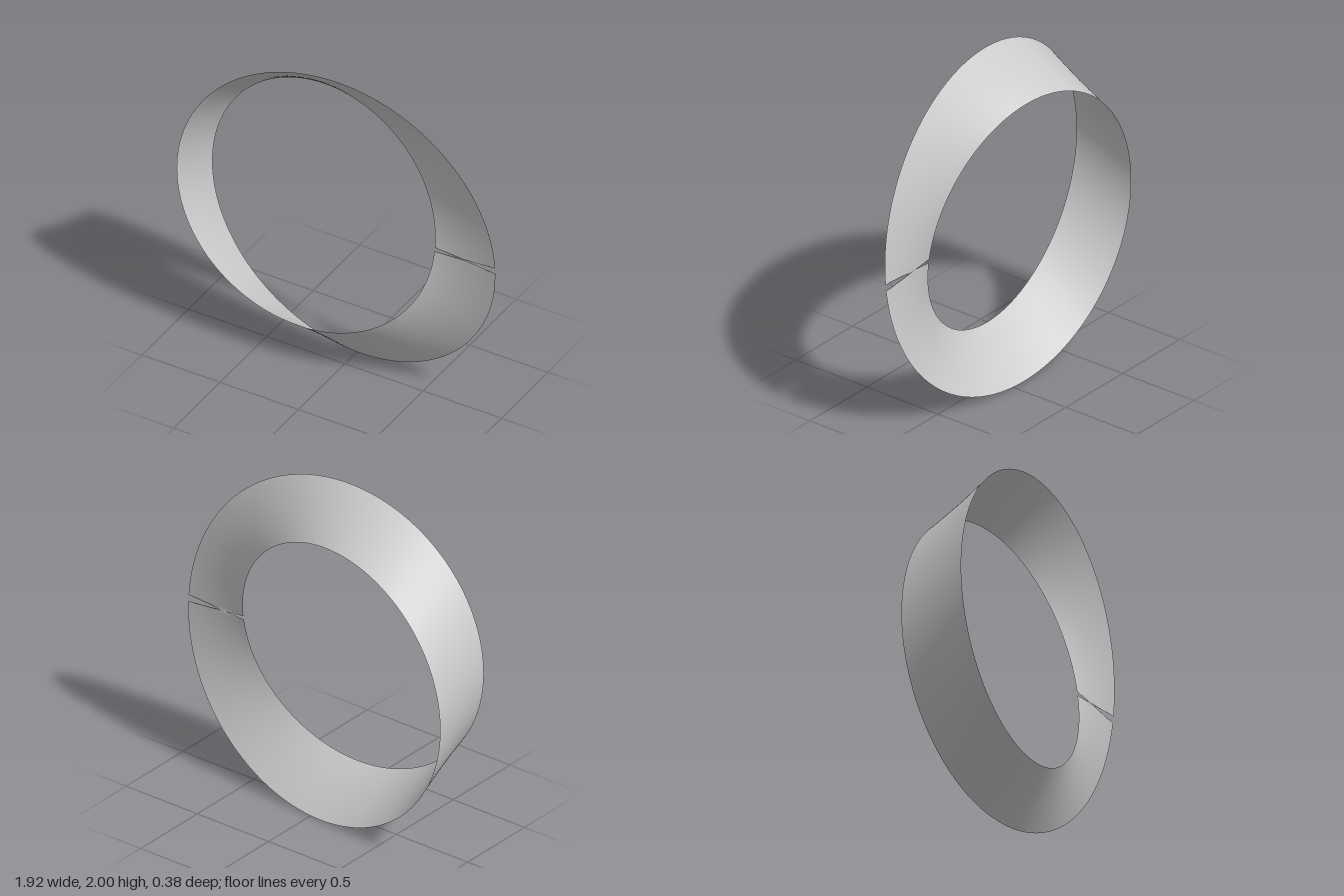
import * as THREE from 'three';

const R = 0.861;      // radius of the centre circle
const W = 0.1925;     // half width of the band
const STEPS = 180;    // divisions around the loop
const ACROSS = 16;    // divisions across the band
const SHIFT_X = -0.0936;

// Straight cross-section of the band at angle u, turning half as fast as u
function crossSection(u) {
  const row = [];
  for (let j = 0; j <= ACROSS; j++) {
    const v = W * (2 * j / ACROSS - 1);
    const r = R + v * Math.cos(u / 2);
    row.push(r * Math.cos(u) + SHIFT_X, 1 + r * Math.sin(u), v * Math.sin(u / 2));
  }
  return row;
}

// Smooth sheet lofted through equal-length cross-sections
function loft(rows) {
  const index = [];
  const n = ACROSS + 1;
  for (let i = 0; i < rows.length - 1; i++) {
    for (let j = 0; j < ACROSS; j++) {
      const a = i * n + j, b = a + n;
      index.push(a, b, a + 1, b, b + 1, a + 1);
    }
  }
  const geometry = new THREE.BufferGeometry();
  geometry.setAttribute('position', new THREE.Float32BufferAttribute(rows.flat(), 3));
  geometry.setIndex(index);
  geometry.computeVertexNormals();
  return geometry;
}

export function createModel() {
  const group = new THREE.Group();
  group.name = 'halfTwistLoop';
  const material = new THREE.MeshStandardMaterial({ color: 0xcccccc, side: THREE.DoubleSide });

  // Half-twisted band, one step short of a full turn
  const rows = [];
  for (let i = 0; i < STEPS; i++) rows.push(crossSection(i / STEPS * Math.PI * 2));
  const band = new THREE.Mesh(loft(rows), material);
  band.name = 'twistedBand';

  // Crossed seam: the ends meet reversed, leaving a notch at each edge
  const seam = new THREE.Mesh(loft([rows[STEPS - 1], rows[0]]), material);
  seam.name = 'crossedSeam';

  group.add(band, seam);
  return group;
}
